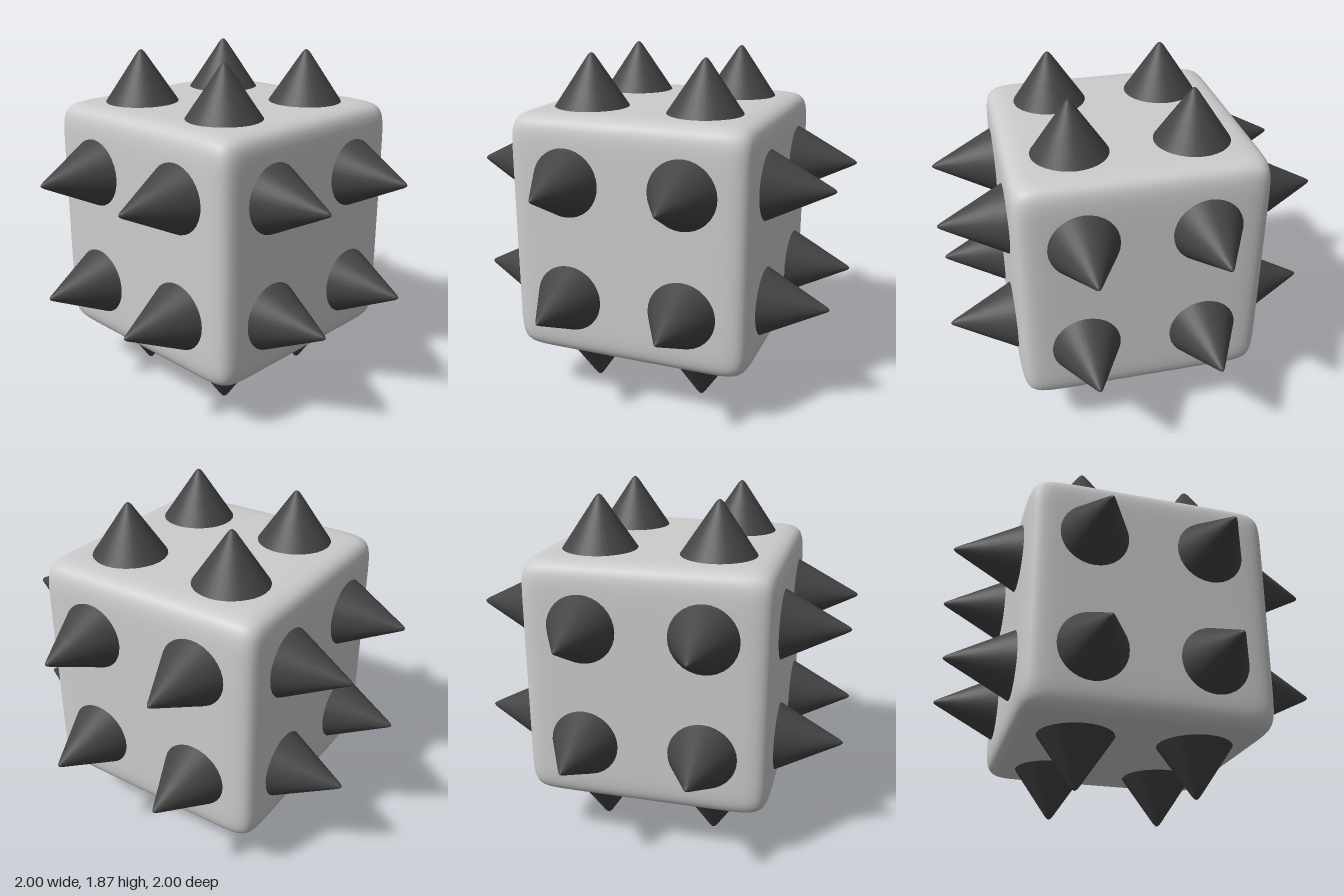
import * as THREE from 'three';

const CENTER_Y = 0.936, HALF = 0.658, POWER = 14, SPACING = 0.315;

// Softly rounded cube: a dense box pushed onto a superellipsoid, with exact normals
function roundedCube() {
  const geo = new THREE.BoxGeometry(2, 2, 2, 28, 28, 28);
  const pos = geo.attributes.position, nor = geo.attributes.normal;
  const p = new THREE.Vector3(), n = new THREE.Vector3();
  const spread = (t) => Math.sin(t * Math.PI / 2); // more rows near the edges
  const slope = (t) => Math.sign(t) * Math.abs(t) ** (POWER - 1);
  for (let i = 0; i < pos.count; i++) {
    p.fromBufferAttribute(pos, i);
    p.set(spread(p.x), spread(p.y), spread(p.z));
    const len = (Math.abs(p.x) ** POWER + Math.abs(p.y) ** POWER + Math.abs(p.z) ** POWER) ** (1 / POWER);
    p.divideScalar(len);
    n.set(slope(p.x), slope(p.y), slope(p.z)).normalize();
    p.multiplyScalar(HALF);
    pos.setXYZ(i, p.x, p.y, p.z);
    nor.setXYZ(i, n.x, n.y, n.z);
  }
  return geo;
}

// Cone with a slightly blunted tip; heights are distances from the cube's centre
function spikeGeometry(tip, baseRadius) {
  const apex = tip + 0.015, k = baseRadius / (apex - HALF);
  const r = (d) => (apex - d) * k;
  const points = [
    [r(0.61), 0.61], [r(HALF), HALF], [r(tip - 0.15), tip - 0.15], [r(tip - 0.022), tip - 0.022],
    [r(tip - 0.01) * 0.92, tip - 0.01], [r(tip) * 0.75, tip - 0.003], [0, tip],
  ].map(([x, y]) => new THREE.Vector2(x, y));
  return new THREE.LatheGeometry(points, 32);
}

export function createModel() {
  const lightGrey = new THREE.MeshStandardMaterial({ color: 0xcccccc });
  lightGrey.name = 'lightGrey';
  const charcoal = new THREE.MeshStandardMaterial({ color: 0x444444 });
  charcoal.name = 'charcoal';

  const model = new THREE.Group();
  model.name = 'spikedCube';
  const body = new THREE.Mesh(roundedCube(), lightGrey);
  body.name = 'body';
  body.position.y = CENTER_Y;
  model.add(body);

  // Four spikes on each face; those above and below are shorter and wider
  const sideSpike = spikeGeometry(1.0, 0.181);
  const verticalSpike = spikeGeometry(0.936, 0.198);
  const faces = [
    ['top', 0, 0, verticalSpike], ['bottom', Math.PI, 0, verticalSpike],
    ['front', Math.PI / 2, 0, sideSpike], ['back', -Math.PI / 2, 0, sideSpike],
    ['left', 0, -Math.PI / 2, sideSpike], ['right', 0, Math.PI / 2, sideSpike],
  ];
  for (const [name, rx, rz, geo] of faces) {
    const group = new THREE.Group();
    group.name = name + 'Spikes';
    group.position.y = CENTER_Y;
    group.rotation.set(rx, 0, rz);
    for (const x of [-1, 1]) for (const z of [-1, 1]) {
      const spike = new THREE.Mesh(geo, charcoal);
      spike.name = 'spike';
      spike.position.set(x * SPACING, 0, z * SPACING);
      group.add(spike);
    }
    model.add(group);
  }
  return model;
}
